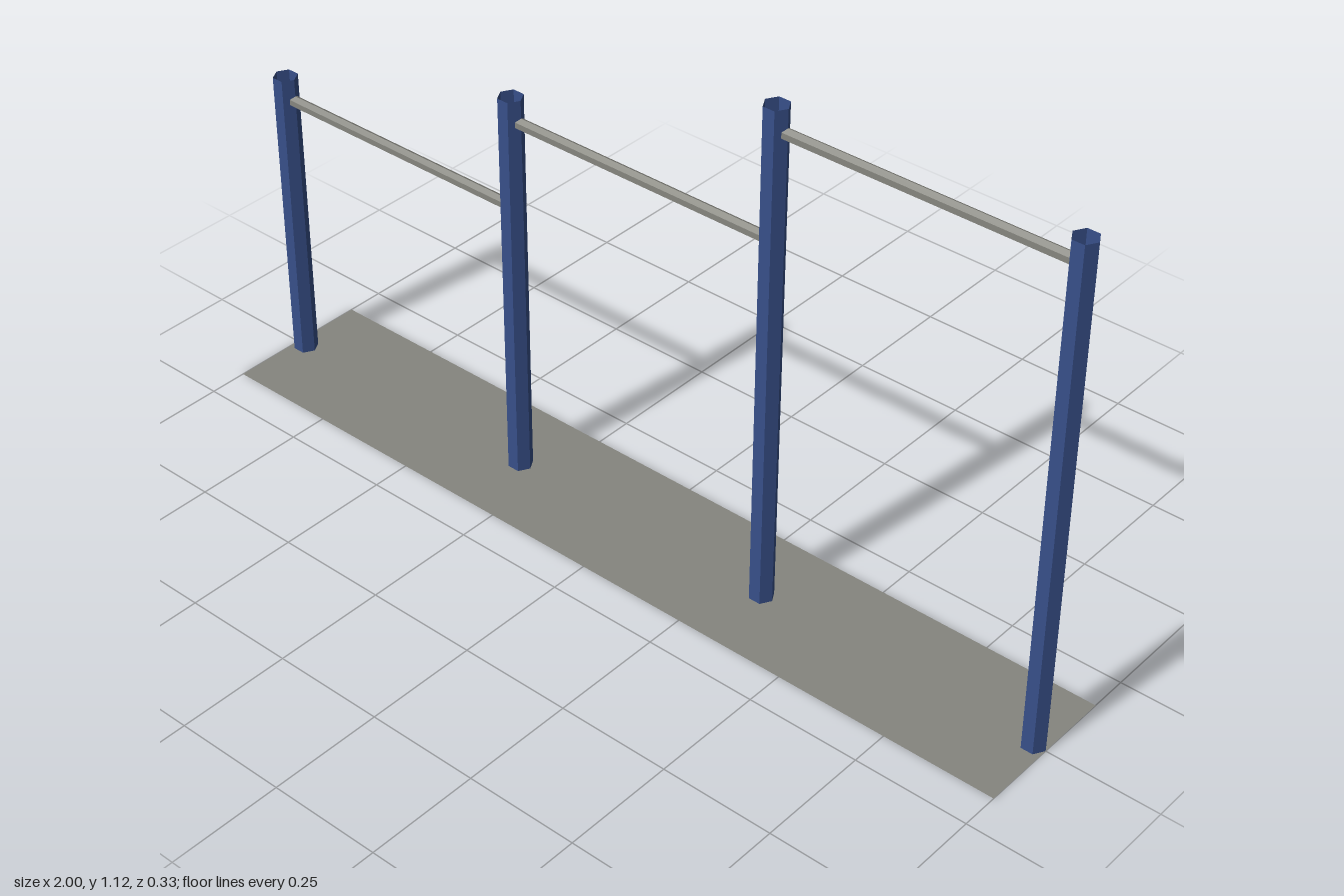
import * as THREE from 'three';

export function createModel() {
  const model = new THREE.Group();
  model.name = 'pullUpBars';

  const navy = new THREE.MeshStandardMaterial({ color: 0x38508a, flatShading: true, side: THREE.DoubleSide });
  navy.name = 'navy paint';
  const grey = new THREE.MeshStandardMaterial({ color: 0x86867f, flatShading: true, side: THREE.DoubleSide });
  grey.name = 'grey';

  const postRadius = 0.0267, barRadius = 0.0125, barDrop = 0.052;
  const postX = [-0.9733, -0.3244, 0.3244, 0.9733];
  const postHeight = [0.688, 0.888, 1.122, 1.122];

  function add(name, geometry, material, x, y) {
    const mesh = new THREE.Mesh(geometry, material);
    mesh.name = name;
    mesh.position.set(x, y, 0);
    model.add(mesh);
  }

  // ground mat
  add('groundMat', new THREE.PlaneGeometry(2, 0.33).rotateX(-Math.PI / 2), grey, 0, 0);

  // open six-sided posts with a flat side to the front
  postX.forEach((x, i) => {
    const h = postHeight[i];
    const tube = new THREE.CylinderGeometry(postRadius, postRadius, h, 6, 1, true).rotateY(Math.PI / 6);
    add('post' + (i + 1), tube, navy, x, h / 2);
  });

  // bars running between post centres, a little below the lower post's top
  const barTops = [postHeight[0], postHeight[1], postHeight[2]];
  barTops.forEach((top, i) => {
    const length = postX[i + 1] - postX[i];
    const bar = new THREE.CylinderGeometry(barRadius, barRadius, length, 6, 1, true)
      .rotateY(Math.PI / 6).rotateZ(Math.PI / 2);
    add('bar' + (i + 1), bar, grey, (postX[i] + postX[i + 1]) / 2, top - barDrop);
  });

  return model;
}
